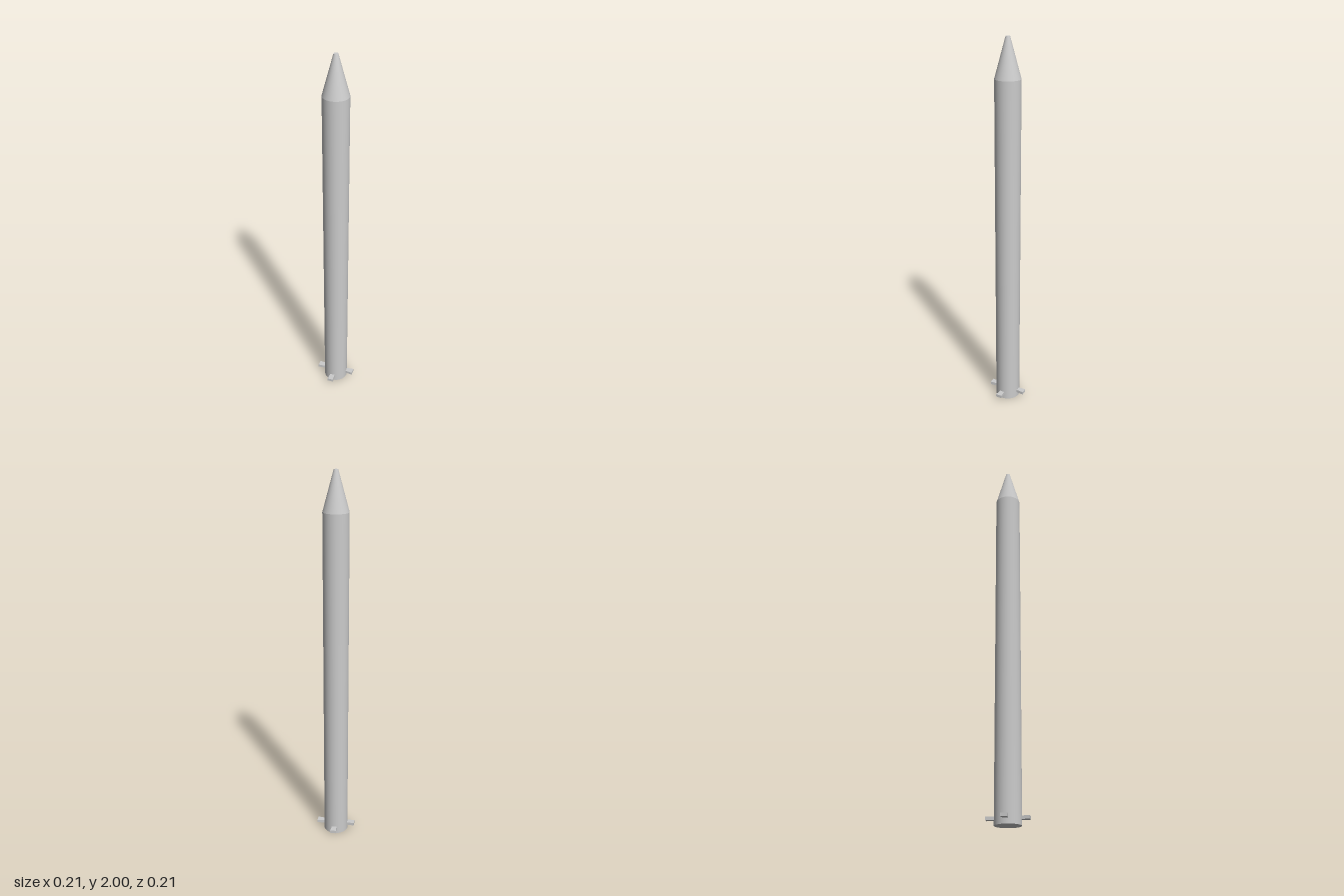
import * as THREE from 'three';

const RADIUS = 0.066;
const SEGMENTS = 64;

export function createModel() {
  const group = new THREE.Group();
  const material = new THREE.MeshStandardMaterial({ color: 0xcccccc });

  const add = (name, geometry) => {
    const mesh = new THREE.Mesh(geometry, material);
    mesh.name = name;
    group.add(mesh);
    return mesh;
  };

  // Stacked round sections, each from y0 to y1
  const section = (name, y0, y1, rBottom, rTop) => {
    const mesh = add(name, new THREE.CylinderGeometry(rTop, rBottom, y1 - y0, SEGMENTS));
    mesh.position.y = (y0 + y1) / 2;
  };
  section('lowerStage', 0, 1.01, RADIUS, RADIUS);
  section('upperStage', 1.01, 1.8, RADIUS, RADIUS);
  section('noseCone', 1.8, 2, RADIUS, 0.011);

  // Flat tail fins that widen outwards, rooted just inside the body
  const outline = new THREE.Shape([
    new THREE.Vector2(0.06, -0.0125),
    new THREE.Vector2(0.105, -0.0165),
    new THREE.Vector2(0.105, 0.0165),
    new THREE.Vector2(0.06, 0.0125),
  ]);
  const finGeometry = new THREE.ExtrudeGeometry(outline, { depth: 0.016, bevelEnabled: false });
  finGeometry.rotateX(-Math.PI / 2);
  ['left', 'back', 'right', 'front'].forEach((side, i) => {
    const fin = add(side + 'Fin', finGeometry);
    fin.position.y = 0.027;
    fin.rotation.y = (i * Math.PI) / 2;
  });

  return group;
}
